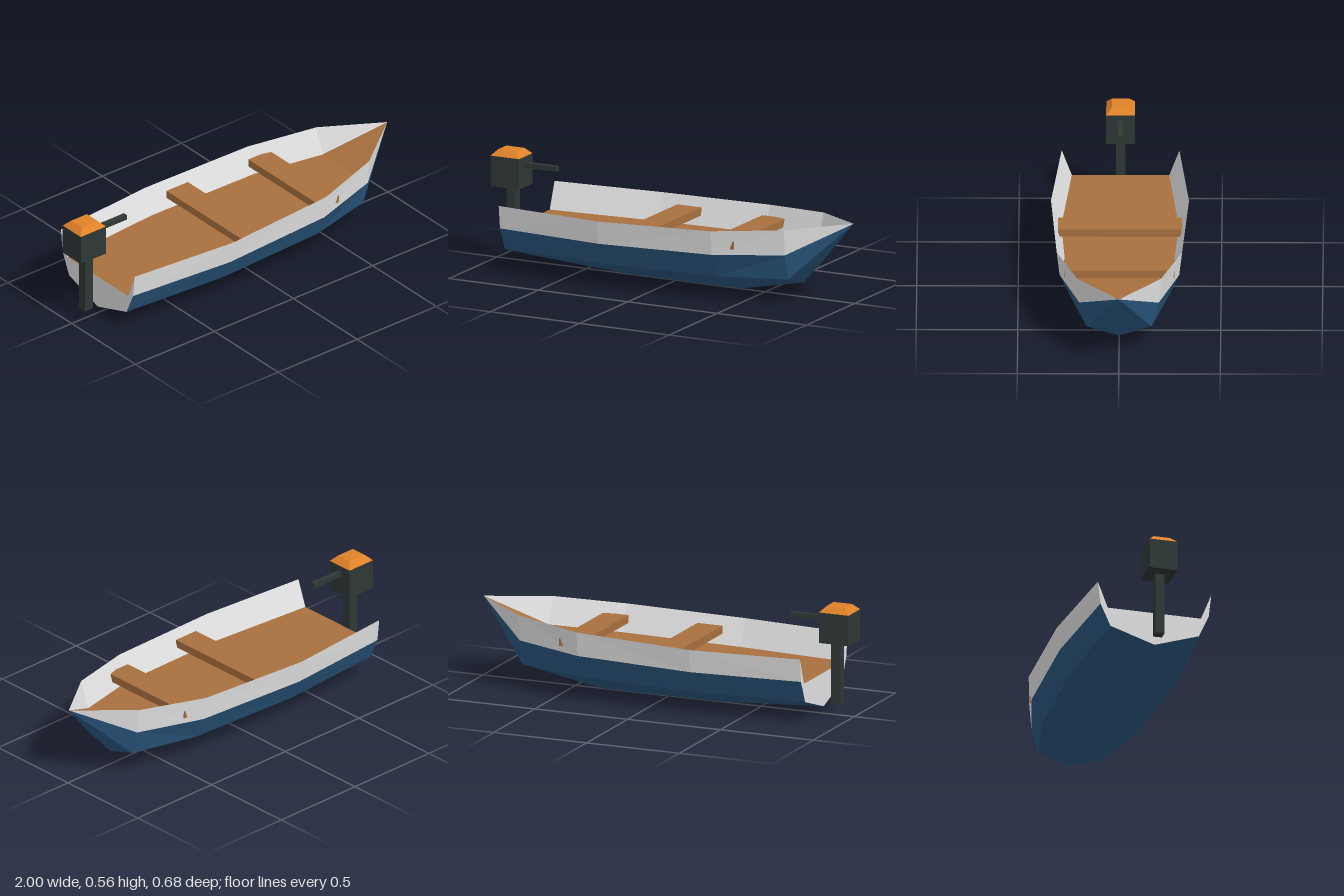
import * as THREE from 'three';

const paint = (name, color) => {
  const m = new THREE.MeshStandardMaterial({ color });
  m.name = name;
  return m;
};

// Hull stations from stern to bow: x, keel y, then [y, half width] of each line
const stations = [
  { x: -0.835, keel: 0.035, chine: [0.11, 0.226], band: [0.225, 0.277], rail: [0.342, 0.29], floor: [0.207, 0.24] },
  { x: -0.26, keel: 0, chine: [0.11, 0.265], band: [0.225, 0.324], rail: [0.342, 0.34], floor: [0.207, 0.289] },
  { x: 0.36, keel: 0, chine: [0.115, 0.241], band: [0.235, 0.295], rail: [0.358, 0.309], floor: [0.223, 0.26] },
  { x: 0.715, keel: 0.073, chine: [0.123, 0.16], band: [0.253, 0.196], rail: [0.383, 0.207], floor: [0.25, 0.157] },
];
const bow = [0.995, 0.404, 0];

// One long line of the hull on the +z side, ending at the bow
const line = (pick) => [...stations.map((s) => [s.x, ...pick(s)]), bow];
const keel = line((s) => [s.keel, 0]);
const chine = line((s) => s.chine);
const band = line((s) => s.band);
const rail = line((s) => s.rail);
const floorEdge = line((s) => s.floor);
const floorCentre = line((s) => [s.floor[0], 0]);

// Triangles between two lines; they face out when a is below b
function strip(a, b) {
  const tris = [];
  for (let i = 0; i < a.length - 1; i++) {
    if (a[i + 1] !== b[i + 1]) tris.push([a[i], a[i + 1], b[i + 1]]);
    tris.push([a[i], b[i + 1], b[i]]);
  }
  return tris;
}

// Flat-faced mesh from +z triangles and their mirror image
function mirrored(name, tris, material) {
  const flip = ([x, y, z]) => [x, y, -z];
  const all = tris.flatMap(([a, b, c]) => [a, b, c, flip(a), flip(c), flip(b)]);
  const g = new THREE.BufferGeometry();
  g.setAttribute('position', new THREE.Float32BufferAttribute(all.flat(), 3));
  g.computeVertexNormals();
  const mesh = new THREE.Mesh(g, material);
  mesh.name = name;
  return mesh;
}

// Box given by its lower and upper limits in x and y, and its half width
function block(name, x0, x1, y0, y1, half, material) {
  const mesh = new THREE.Mesh(new THREE.BoxGeometry(x1 - x0, y1 - y0, half * 2), material);
  mesh.position.set((x0 + x1) / 2, (y0 + y1) / 2, 0);
  mesh.name = name;
  return mesh;
}

export function createModel() {
  const blue = paint('hull blue', 0x2a5880);
  const white = paint('hull white', 0xe2e2e2);
  const wood = paint('wood', 0xa9713f);
  const dark = paint('motor dark', 0x2f3836);
  const orange = paint('motor orange', 0xe08228);

  const model = new THREE.Group();
  model.name = 'motorboat';

  // Hull shell
  const hull = new THREE.Group();
  hull.name = 'hull';
  hull.add(mirrored('lowerHull', [...strip(keel, chine), ...strip(chine, band)], blue));
  hull.add(mirrored('upperBand', strip(band, rail), white));
  hull.add(mirrored('innerWall', strip(rail, floorEdge), white));
  hull.add(mirrored('floor', strip(floorEdge, floorCentre), wood));

  // Flat stern, open above the floor
  const stern = [floorCentre, keel, chine, band, rail].map((l) => l[0]);
  const sternTris = stern.slice(1).map((p, i) => [floorEdge[0], stern[i], p]);
  hull.add(mirrored('transom', sternTris, white));
  model.add(hull);

  // Bench seats
  model.add(block('middleSeat', -0.155, -0.02, 0.26, 0.3, 0.305, wood));
  model.add(block('forwardSeat', 0.337, 0.47, 0.27, 0.31, 0.273, wood));

  // Outboard motor
  const motor = new THREE.Group();
  motor.name = 'outboardMotor';
  motor.add(block('motorBody', -1, -0.84, 0.375, 0.53, 0.071, dark));
  motor.add(block('motorLeg', -0.935, -0.885, 0.055, 0.38, 0.023, dark));
  motor.add(block('tiller', -0.845, -0.66, 0.475, 0.5, 0.0125, dark));

  // Cap with its top corners drawn in
  const cap = block('motorCap', -1, -0.84, 0.53, 0.56, 0.071, orange);
  const p = cap.geometry.attributes.position;
  for (let i = 0; i < p.count; i++) {
    if (p.getY(i) > 0) {
      p.setX(i, Math.sign(p.getX(i)) * 0.05);
      p.setZ(i, Math.sign(p.getZ(i)) * 0.042);
    }
  }
  cap.geometry.computeVertexNormals();
  motor.add(cap);
  model.add(motor);

  return model;
}
